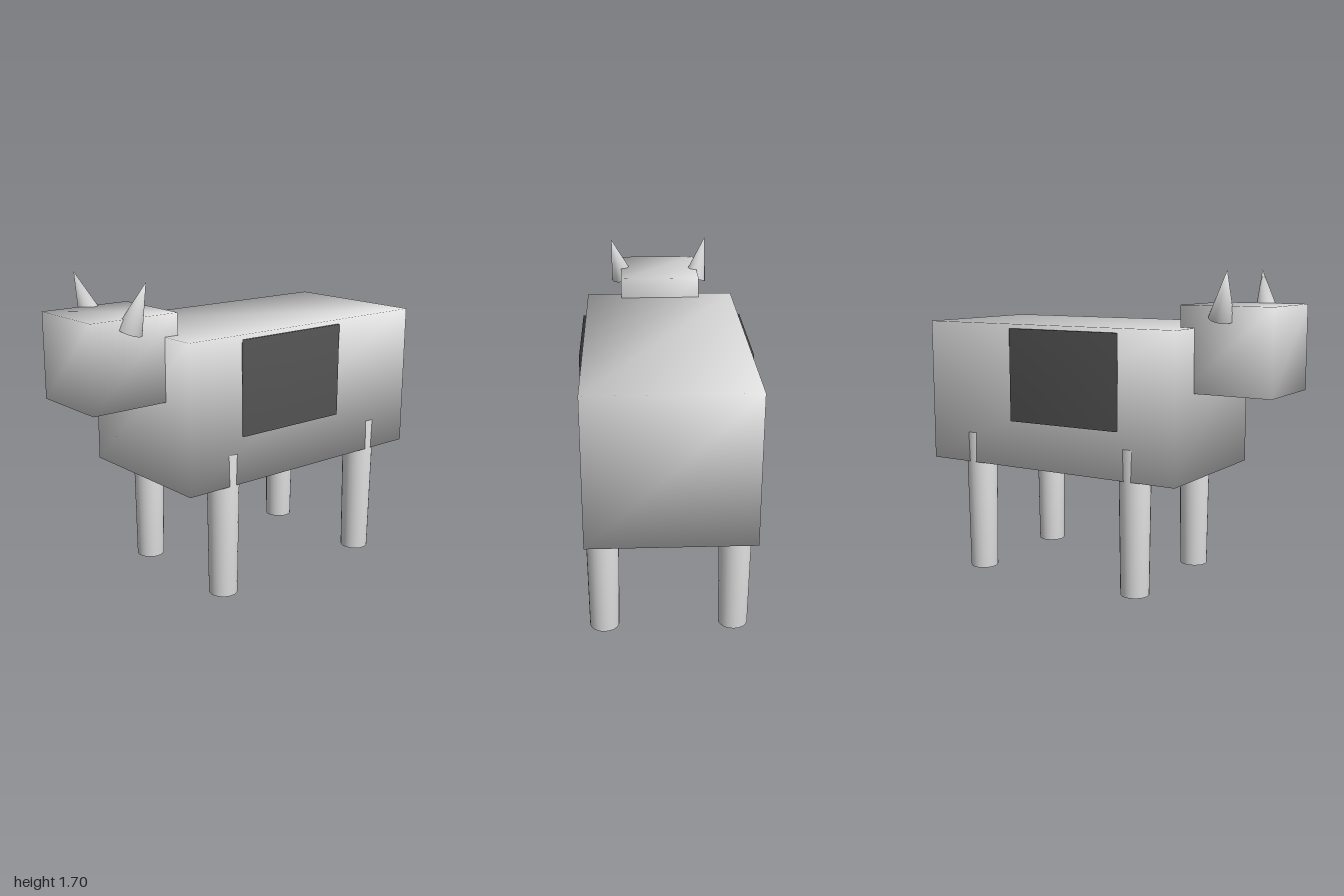
import * as THREE from 'three';
import { mergeVertices } from 'three/addons/utils/BufferGeometryUtils.js';

// Weld shared corners so shading runs smoothly across every edge
function soft(geometry) {
  geometry.deleteAttribute('normal');
  geometry.deleteAttribute('uv');
  const welded = mergeVertices(geometry, 1e-5);
  welded.computeVertexNormals();
  return welded;
}

export function createModel() {
  const group = new THREE.Group();
  const hide = new THREE.MeshStandardMaterial({ color: 0xe0e0e0 });
  hide.name = 'pale hide';
  const spot = new THREE.MeshStandardMaterial({ color: 0x555555 });
  spot.name = 'dark spot';

  function add(name, geometry, material, x, y, z) {
    const mesh = new THREE.Mesh(soft(geometry), material);
    mesh.name = name;
    mesh.position.set(x, y, z);
    group.add(mesh);
    return mesh;
  }

  // Body and head
  add('body', new THREE.BoxGeometry(0.84, 0.787, 1.575), hide, 0, 1.0155, -0.2125);
  add('head', new THREE.BoxGeometry(0.45, 0.448, 0.505), hide, 0, 1.3, 0.7475);

  const up = new THREE.Vector3(0, 1, 0);
  for (const side of [1, -1]) {
    const label = side > 0 ? 'left' : 'right';

    // Flank spot, partly sunk into the body
    add(label + 'Spot', new THREE.BoxGeometry(0.034, 0.505, 0.675), spot, side * 0.42, 1.1325, -0.0975);

    // Tapered legs, whose tops reach up into the body
    for (const [end, z] of [['Front', 0.297], ['Back', -0.72]]) {
      add(label + end + 'Leg', new THREE.CylinderGeometry(0.0875, 0.077, 0.79, 24), hide, side * 0.3375, 0.395, z);
    }

    // Horns lean outward, one forward and one back
    const base = new THREE.Vector3(side * 0.216, 1.46, 0.7475 + side * 0.0295);
    const tip = new THREE.Vector3(side * 0.28, 1.7, 0.7475 - side * 0.0295);
    const axis = tip.clone().sub(base);
    const middle = base.clone().add(tip).multiplyScalar(0.5);
    const horn = add(label + 'Horn', new THREE.ConeGeometry(0.066, axis.length(), 24), hide, middle.x, middle.y, middle.z);
    horn.quaternion.setFromUnitVectors(up, axis.normalize());
  }
  return group;
}
